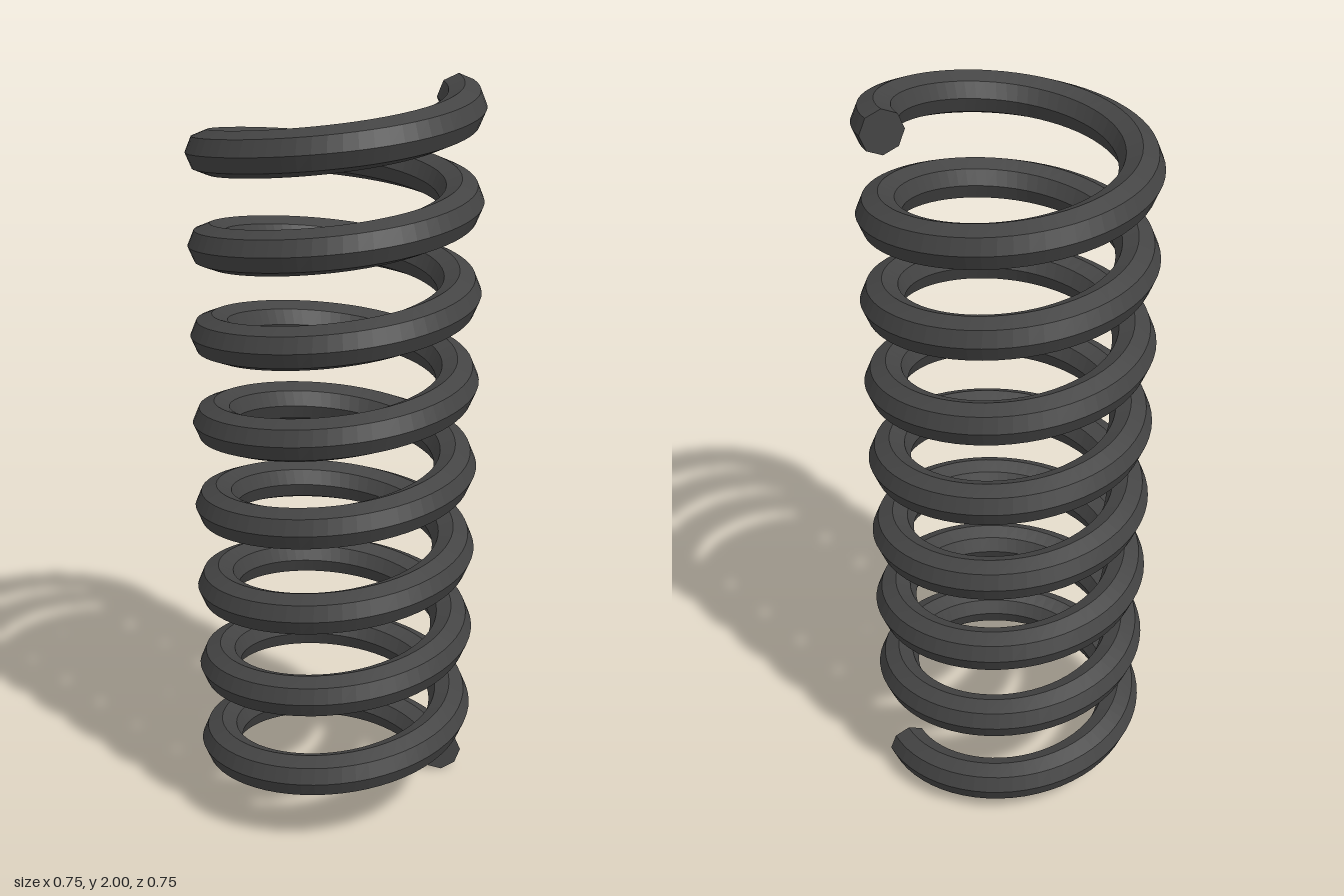
import * as THREE from 'three';

const TURNS = 8, STEPS = 64, SIDES = 8;
const COIL_R = 0.32, WIRE_R = 0.0565;
const PITCH = (2 - 2 * WIRE_R) / TURNS;

// Wire surface: an octagon in the upright radial plane, swept up the helix
function coilGeometry() {
  const pos = [], index = [];
  const rings = TURNS * STEPS;
  for (let i = 0; i <= rings; i++) {
    const a = (i / STEPS) * Math.PI * 2;
    const y = WIRE_R + (i / STEPS) * PITCH;
    for (let j = 0; j < SIDES; j++) {
      const t = (j / SIDES) * Math.PI * 2;
      const r = COIL_R + WIRE_R * Math.cos(t);
      pos.push(r * Math.cos(a), y + WIRE_R * Math.sin(t), -r * Math.sin(a));
    }
  }
  for (let i = 0; i < rings; i++) {
    for (let j = 0; j < SIDES; j++) {
      const k = (j + 1) % SIDES;
      const a = i * SIDES + j, b = i * SIDES + k;
      const c = a + SIDES, d = b + SIDES;
      index.push(a, c, d, a, d, b);
    }
  }
  // Flat cut ends: the lower faces the front, the upper faces the back
  const last = rings * SIDES;
  for (let j = 1; j < SIDES - 1; j++) {
    index.push(0, j, j + 1);
    index.push(last, last + j + 1, last + j);
  }
  const geo = new THREE.BufferGeometry();
  geo.setAttribute('position', new THREE.Float32BufferAttribute(pos, 3));
  geo.setIndex(index);
  const flat = geo.toNonIndexed();
  flat.computeVertexNormals();
  return flat;
}

export function createModel() {
  const group = new THREE.Group();
  group.name = 'coilSpring';
  const material = new THREE.MeshStandardMaterial({ color: 0x444444, flatShading: true });
  const coil = new THREE.Mesh(coilGeometry(), material);
  coil.name = 'springCoil';
  group.add(coil);
  return group;
}
